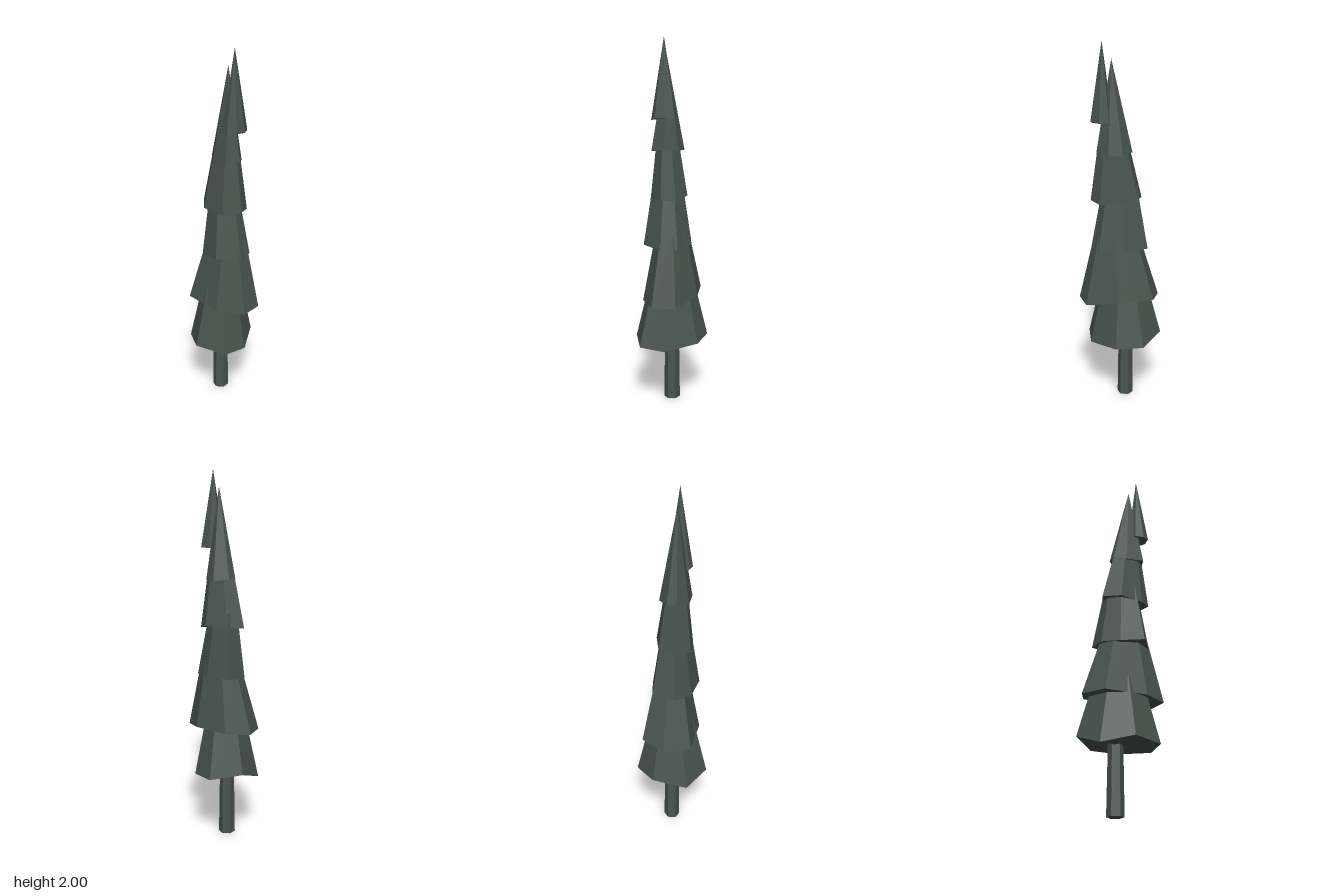
import * as THREE from 'three';

const needleGreen = new THREE.MeshStandardMaterial({ color: 0x48544f, flatShading: true });
needleGreen.name = 'dark grey green';

// Irregular cone skirt: rim corners [x, y, z] run back > left > front > right,
// and lean towards a tip; the sides stop at height cut (a flat top) or at the tip.
function tier(name, rim, tip, cut = tip[1]) {
  const apex = new THREE.Vector3(...tip);
  const low = rim.map((p) => new THREE.Vector3(...p));
  const high = low.map((p) => p.clone().lerp(apex, (cut - p.y) / (apex.y - p.y)));
  const middle = (ring) => ring.reduce((s, p) => s.add(p), new THREE.Vector3()).divideScalar(ring.length);
  const lowMid = middle(low), highMid = middle(high);
  const corners = [];
  low.forEach((a, i) => {
    const j = (i + 1) % low.length;
    const b = low[j];
    corners.push(lowMid, b, a);
    if (cut < apex.y) corners.push(a, b, high[j], a, high[j], high[i], highMid, high[i], high[j]);
    else corners.push(a, b, apex);
  });
  const geometry = new THREE.BufferGeometry().setFromPoints(corners);
  geometry.computeVertexNormals();
  const mesh = new THREE.Mesh(geometry, needleGreen);
  mesh.name = name;
  return mesh;
}

export function createModel() {
  const tree = new THREE.Group();
  tree.name = 'firTree';

  // Slim six-sided trunk
  const trunk = new THREE.Mesh(new THREE.CylinderGeometry(0.038, 0.045, 0.45, 6), needleGreen);
  trunk.name = 'trunk';
  trunk.position.set(-0.031, 0.225, -0.002);
  tree.add(trunk);

  // Branch tiers from the ground up
  tree.add(
    tier('lowestTier', [
      [-0.06, 0.37, -0.2], [-0.205, 0.4, -0.1], [-0.18, 0.33, 0.09], [-0.045, 0.36, 0.2],
      [0.13, 0.35, 0.165], [0.165, 0.34, 0.03], [0.08, 0.36, -0.148],
    ], [-0.01, 1.2, 0], 0.72),
    tier('secondTier', [
      [-0.133, 0.63, -0.16], [-0.213, 0.61, -0.04], [-0.165, 0.6, 0.11], [0.06, 0.6, 0.152],
      [0.207, 0.6, 0.095], [0.21, 0.6, -0.032], [0.07, 0.63, -0.145],
    ], [0.04, 1.42, 0], 0.99),
    tier('thirdTier', [
      [0.025, 0.91, -0.11], [-0.12, 0.91, -0.103], [-0.135, 0.9, 0.015], [-0.07, 0.89, 0.105],
      [0.055, 0.91, 0.147], [0.15, 0.9, 0.05], [0.14, 0.9, -0.04],
    ], [-0.01, 1.75, 0.02], 1.25),
    tier('fourthTier', [
      [0.05, 1.18, -0.088], [-0.075, 1.18, -0.07], [-0.13, 1.17, 0.015], [-0.06, 1.16, 0.1],
      [0.07, 1.15, 0.108], [0.15, 1.17, 0.05], [0.125, 1.16, -0.03],
    ], [0.05, 1.9, 0.03], 1.53),
    tier('fifthTier', [
      [0.01, 1.42, -0.07], [-0.06, 1.43, -0.025], [-0.065, 1.43, 0.025], [-0.015, 1.41, 0.085],
      [0.085, 1.42, 0.1], [0.122, 1.43, 0.03], [0.08, 1.42, -0.04],
    ], [0.04, 1.91, 0.022]),
    tier('topTier', [
      [0.07, 1.59, -0.027], [0.03, 1.58, 0.03], [0.045, 1.58, 0.085], [0.09, 1.58, 0.1],
      [0.135, 1.59, 0.08], [0.15, 1.59, 0.03], [0.125, 1.59, -0.025],
    ], [0.087, 2, 0.033]),
  );
  return tree;
}
